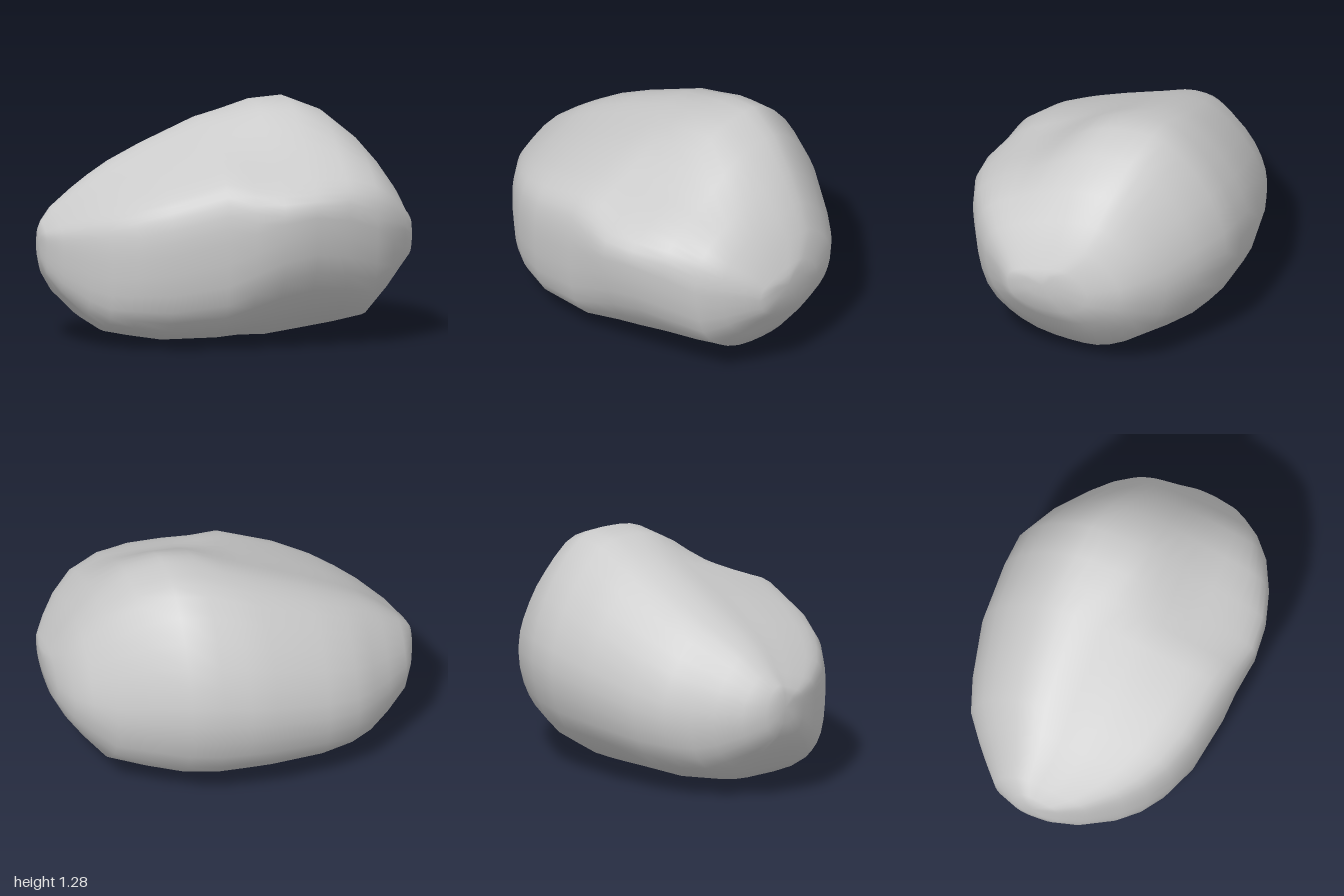
import * as THREE from 'three';

// Stations along the boulder: x, bottom y, top y, back z, front z
const STATIONS = [
  [-1.0, 0.43, 0.6, -0.17, -0.04],
  [-0.98, 0.35, 0.64, -0.23, 0.04],
  [-0.92, 0.25, 0.71, -0.35, 0.18],
  [-0.8, 0.13, 0.81, -0.45, 0.35],
  [-0.7, 0.065, 0.88, -0.53, 0.45],
  [-0.58, 0.045, 0.95, -0.62, 0.54],
  [-0.4, 0.02, 1.04, -0.68, 0.62],
  [-0.1, 0.02, 1.17, -0.74, 0.68],
  [0.05, 0.01, 1.21, -0.74, 0.7],
  [0.2, 0.0, 1.255, -0.74, 0.735],
  [0.38, 0.025, 1.27, -0.72, 0.725],
  [0.57, 0.06, 1.2, -0.62, 0.67],
  [0.74, 0.1, 1.06, -0.5, 0.59],
  [0.85, 0.23, 0.93, -0.4, 0.5],
  [0.93, 0.34, 0.81, -0.3, 0.4],
  [0.98, 0.42, 0.69, -0.13, 0.33],
  [1.0, 0.52, 0.66, 0.02, 0.22],
];

// Normalised sections (z from -1 to 1, y from 0 to 1), matching point by point:
// front, shoulder, crest, back, underside
const LEFT_SECTION = [
  [1, 0.5], [0.97, 0.69], [0.87, 0.785], [0.55, 0.87], [0.1, 0.95], [-0.25, 1], [-0.55, 0.95],
  [-0.88, 0.72], [-1, 0.46], [-0.88, 0.2], [-0.46, 0.03], [0, 0], [0.7, 0.045], [0.93, 0.19],
];
const MIDDLE_SECTION = [
  [1, 0.57], [0.97, 0.64], [0.8, 0.72], [0.46, 0.82], [0.08, 0.97], [-0.2, 1], [-0.51, 0.975],
  [-0.87, 0.735], [-1, 0.47], [-0.86, 0.2], [-0.4, 0.02], [0, 0], [0.58, 0.11], [0.91, 0.32],
];
const END_SECTION = [
  [1, 0.57], [0.96, 0.72], [0.85, 0.81], [0.55, 0.9], [0.1, 0.975], [-0.2, 1], [-0.52, 0.96],
  [-0.86, 0.74], [-1, 0.47], [-0.86, 0.2], [-0.4, 0.015], [0, 0], [0.52, 0.08], [0.88, 0.27],
];
const SIDES = 42;

function sectionPoints(points) {
  const curve = new THREE.CatmullRomCurve3(points.map(([z, y]) => new THREE.Vector3(0, y, z)), true);
  return Array.from({ length: SIDES }, (_, i) => curve.getPoint(i / SIDES));
}

function boulderGeometry() {
  const [left, middle, end] = [LEFT_SECTION, MIDDLE_SECTION, END_SECTION].map(sectionPoints);
  const positions = [];
  const index = [];

  // Fit the blended section into each station's extents
  STATIONS.forEach(([x, bottom, top, back, front]) => {
    const toMiddle = THREE.MathUtils.smoothstep(x, -0.2, 0.3);
    const toEnd = THREE.MathUtils.smoothstep(x, 0.4, 0.8);
    for (let j = 0; j < SIDES; j++) {
      const p = left[j].clone().lerp(middle[j], toMiddle).lerp(end[j], toEnd);
      positions.push(x, bottom + p.y * (top - bottom), (front + back) / 2 + p.z * (front - back) / 2);
    }
  });

  // Skin between neighbouring sections
  for (let i = 0; i < STATIONS.length - 1; i++) {
    for (let j = 0; j < SIDES; j++) {
      const a = i * SIDES + j;
      const b = i * SIDES + (j + 1) % SIDES;
      index.push(a, a + SIDES, b, b, a + SIDES, b + SIDES);
    }
  }

  // Close both ends
  [0, STATIONS.length - 1].forEach((i) => {
    const [x, bottom, top, back, front] = STATIONS[i];
    const centre = positions.length / 3;
    positions.push(x, (bottom + top) / 2, (back + front) / 2);
    for (let j = 0; j < SIDES; j++) {
      const a = i * SIDES + j;
      const b = i * SIDES + (j + 1) % SIDES;
      if (i === 0) index.push(centre, a, b);
      else index.push(centre, b, a);
    }
  });

  const geometry = new THREE.BufferGeometry();
  geometry.setAttribute('position', new THREE.Float32BufferAttribute(positions, 3));
  geometry.setIndex(index);
  geometry.computeVertexNormals();
  return geometry;
}

export function createModel() {
  const group = new THREE.Group();
  group.name = 'rock';
  const boulder = new THREE.Mesh(boulderGeometry(), new THREE.MeshStandardMaterial({ color: 0xcccccc }));
  boulder.name = 'boulder';
  group.add(boulder);
  return group;
}
